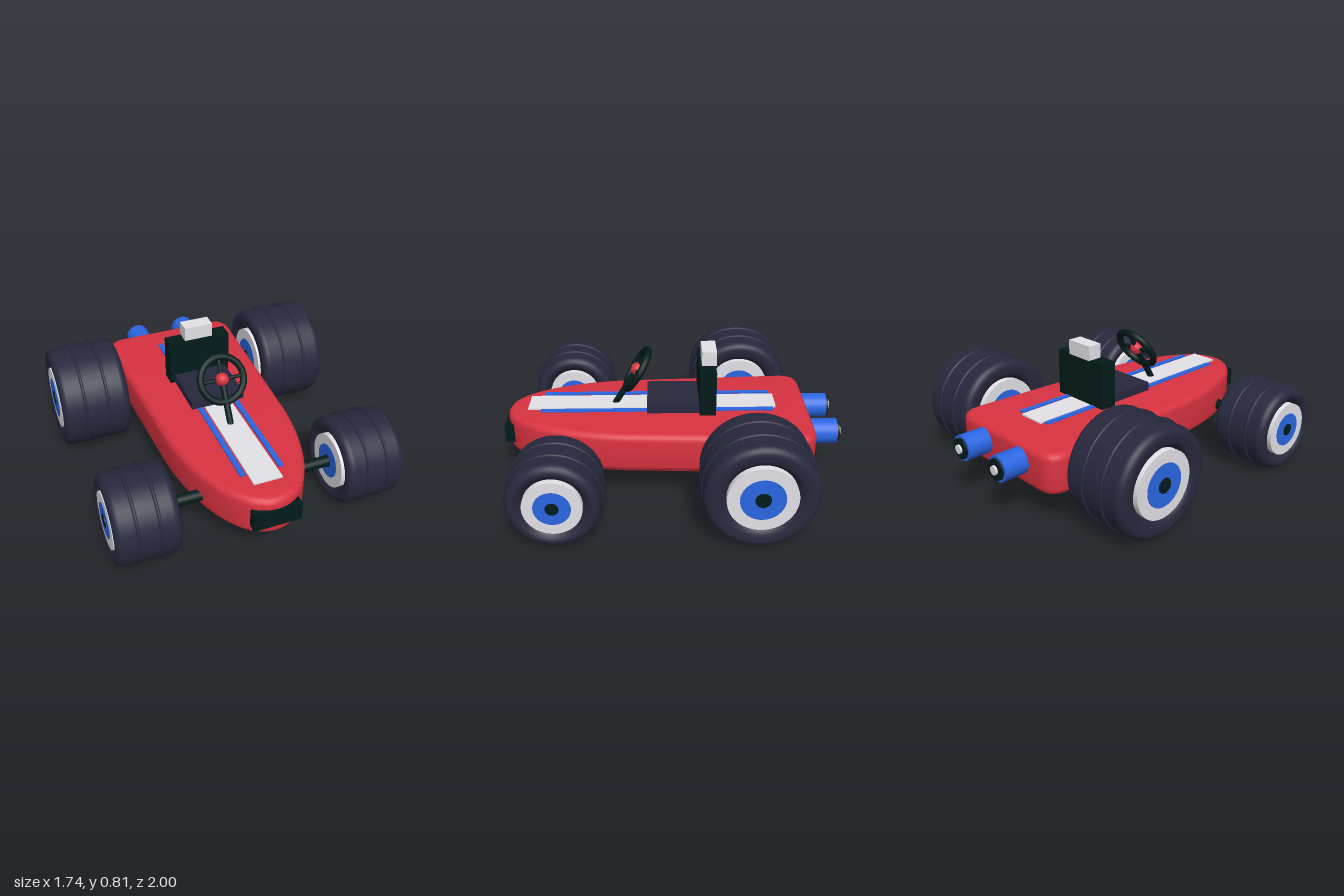
import * as THREE from 'three';
import { toCreasedNormals } from 'three/addons/utils/BufferGeometryUtils.js';

const paint = (name, color) => {
  const m = new THREE.MeshStandardMaterial({ color });
  m.name = name;
  return m;
};

export function createModel() {
  const red = paint('red', 0xd83240);
  const blue = paint('blue', 0x2a66e2);
  const white = paint('pale grey', 0xe5e5ea);
  const navy = paint('rubber navy', 0x28283e);
  const dark = paint('dark green black', 0x021b1a);

  const kart = new THREE.Group();
  kart.name = 'kart';

  const add = (parent, name, geometry, material, x = 0, y = 0, z = 0) => {
    const mesh = new THREE.Mesh(geometry, material);
    mesh.name = name;
    mesh.position.set(x, y, z);
    parent.add(mesh);
    return mesh;
  };
  // Box given by its limits on each axis
  const box = (name, material, [x0, x1], [y0, y1], [z0, z1]) =>
    add(kart, name, new THREE.BoxGeometry(x1 - x0, y1 - y0, z1 - z0), material,
      (x0 + x1) / 2, (y0 + y1) / 2, (z0 + z1) / 2);
  const rodX = (r, length, seg = 32) =>
    new THREE.CylinderGeometry(r, r, length, seg).rotateZ(Math.PI / 2);
  const rodZ = (r, length, seg = 32) =>
    new THREE.CylinderGeometry(r, r, length, seg).rotateX(Math.PI / 2);

  // Body outline seen from above: square tail, blunt round nose
  const outline = new THREE.Shape();
  outline.moveTo(0, -0.825);
  outline.lineTo(0.30, -0.825);
  outline.bezierCurveTo(0.39, -0.825, 0.425, -0.78, 0.425, -0.70);
  outline.lineTo(0.378, 0.28);
  outline.bezierCurveTo(0.36, 0.55, 0.25, 0.99, 0, 0.99);
  outline.bezierCurveTo(-0.25, 0.99, -0.36, 0.55, -0.378, 0.28);
  outline.lineTo(-0.425, -0.70);
  outline.bezierCurveTo(-0.425, -0.78, -0.39, -0.825, -0.30, -0.825);
  outline.closePath();

  const slab = (bottom, top, bevel) => {
    const g = new THREE.ExtrudeGeometry(outline, {
      depth: top - bottom - 2 * bevel, curveSegments: 20,
      bevelThickness: bevel, bevelSize: bevel, bevelOffset: -bevel, bevelSegments: 5,
    });
    g.rotateX(Math.PI / 2).translate(0, top - bevel, 0);
    return toCreasedNormals(g, 0.7);
  };
  add(kart, 'body', slab(0.19, 0.43, 0.042), red);
  const pan = add(kart, 'floorPan', slab(0.158, 0.23, 0.025), red, 0, 0, 0.01);
  pan.scale.set(0.865, 1, 0.89);

  // Bumper and deck stripes
  box('frontBumper', dark, [-0.137, 0.137], [0.26, 0.37], [0.945, 1]);
  box('centreStripe', white, [-0.083, 0.083], [0.448, 0.457], [-0.62, 0.86]);
  for (const s of [-1, 1])
    add(kart, 'sideStripe', new THREE.BoxGeometry(0.03, 0.009, 1.38), blue, s * 0.111, 0.4555, 0.09);

  // Seat
  box('seatCushion', navy, [-0.163, 0.163], [0.459, 0.51], [-0.16, 0.15]);
  box('seatBack', dark, [-0.19, 0.19], [0.455, 0.727], [-0.253, -0.157]);
  box('headrest', white, [-0.087, 0.087], [0.725, 0.812], [-0.258, -0.172]);

  // Steering wheel, tilted back, with the column running down its own plane
  const steering = new THREE.Group();
  steering.name = 'steeringWheel';
  steering.position.set(0, 0.672, 0.207);
  steering.rotation.x = -0.55;
  kart.add(steering);
  add(steering, 'steeringRim', new THREE.TorusGeometry(0.13, 0.021, 12, 48), dark);
  add(steering, 'crossSpoke', rodX(0.011, 0.26, 12), dark);
  add(steering, 'uprightSpoke', new THREE.CylinderGeometry(0.012, 0.012, 0.13, 12), dark, 0, 0.065, 0);
  add(steering, 'steeringColumn', new THREE.CylinderGeometry(0.019, 0.019, 0.285, 16), dark, 0, -0.1425, 0);
  add(steering, 'steeringHub', new THREE.SphereGeometry(0.039, 24, 16), red);

  // Twin exhausts
  for (const s of [-1, 1]) {
    add(kart, 'exhaustPipe', rodZ(0.075, 0.195), blue, s * 0.165, 0.332, -0.876);
    add(kart, 'exhaustRing', rodZ(0.06, 0.04), dark, s * 0.165, 0.332, -0.967);
    add(kart, 'exhaustTip', rodZ(0.026, 0.04), white, s * 0.165, 0.332, -0.98);
  }

  // Wheel: rounded tyre, two tread ribs, stepped rim discs on both faces
  const makeWheel = (name, r, half, rimR, capR, hubR) => {
    const wheel = new THREE.Group();
    wheel.name = name;
    const c = 0.045;
    const profile = [[-0.01, 0.055], [0, 0.04], [0.018, 0.016], [0.038, 0.003]]
      .map(([out, inset]) => new THREE.Vector2(rimR + out, inset - half));
    for (let i = 0; i <= 6; i++) {
      const a = (i / 6) * Math.PI / 2;
      profile.push(new THREE.Vector2(r - c + c * Math.sin(a), -half + c - c * Math.cos(a)));
    }
    const full = profile.concat(profile.slice().reverse().map(p => new THREE.Vector2(p.x, -p.y)));
    add(wheel, 'tyre', new THREE.LatheGeometry(full, 56).rotateZ(Math.PI / 2), navy);
    for (const s of [-1, 1])
      add(wheel, 'treadRib', new THREE.TorusGeometry(r - 0.001, 0.01, 8, 56).rotateY(Math.PI / 2),
        navy, s * half / 3, 0, 0);
    add(wheel, 'rim', rodX(rimR, 2 * (half - 0.003), 48), white);
    add(wheel, 'rimCap', rodX(capR, 2 * half, 48), blue);
    add(wheel, 'hub', rodX(hubR, 2 * (half + 0.004), 24), dark);
    return wheel;
  };
  const axles = [
    { end: 'front', x: 0.66, y: 0.265, z: 0.645, r: 0.255, half: 0.18, rim: 0.16, cap: 0.1, hub: 0.036 },
    { end: 'rear', x: 0.657, y: 0.32, z: -0.453, r: 0.31, half: 0.207, rim: 0.19, cap: 0.122, hub: 0.043 },
  ];
  for (const a of axles) {
    add(kart, a.end + 'Axle', rodX(a.hub - 0.003, 1.2, 20), dark, 0, a.y, a.z);
    for (const s of [-1, 1]) {
      const side = s > 0 ? 'Left' : 'Right';
      const wheel = makeWheel(a.end + side + 'Wheel', a.r, a.half, a.rim, a.cap, a.hub);
      wheel.position.set(s * a.x, a.y, a.z);
      kart.add(wheel);
    }
  }
  return kart;
}
